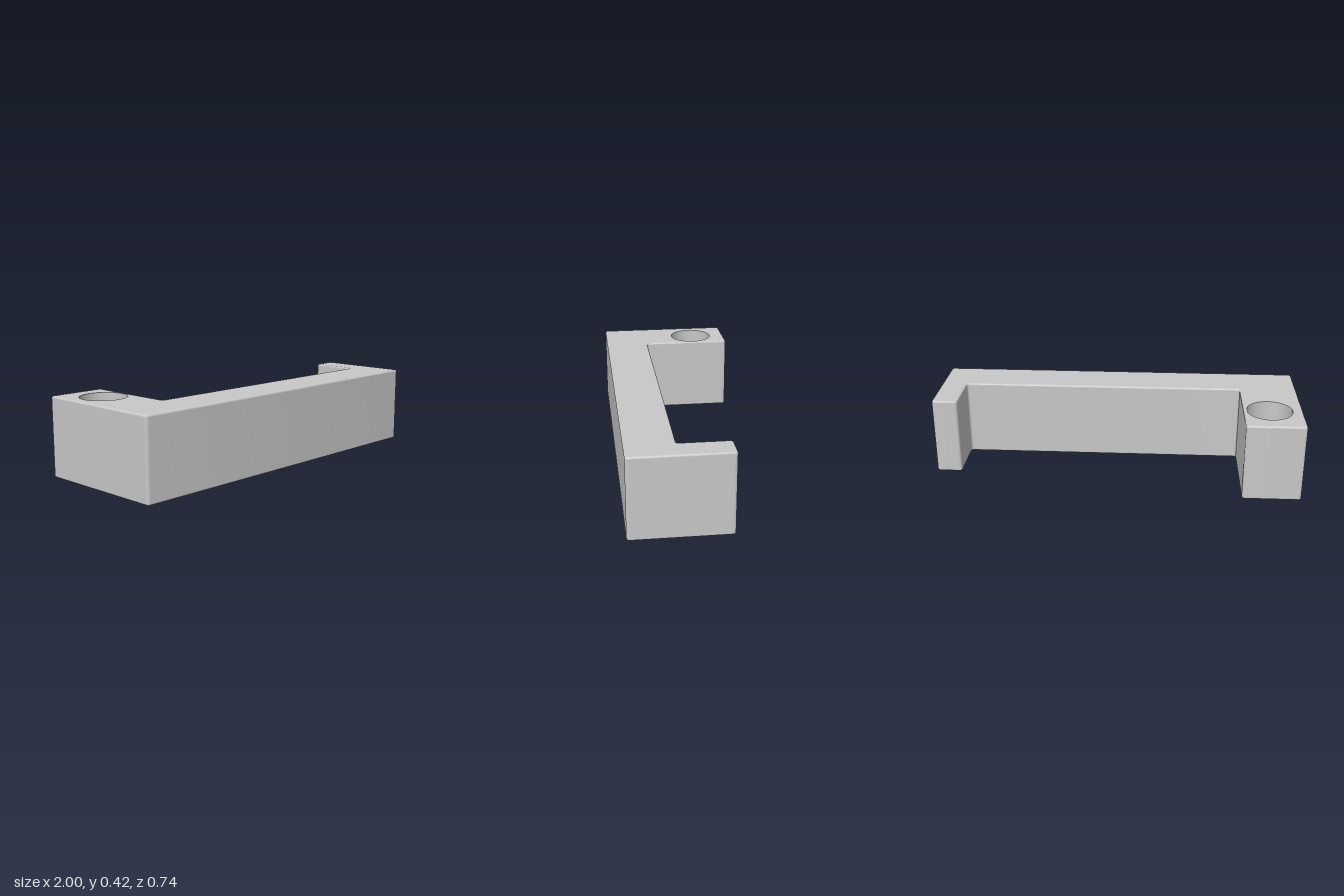
import * as THREE from 'three';
import { toCreasedNormals } from 'three/addons/utils/BufferGeometryUtils.js';

const HEIGHT = 0.424, BEVEL = 0.01, CORNER = 0.018;
const HOLE = { x: -0.825, y: 0.165, r: 0.122 };

// Closed outline with every corner slightly rounded
function roundedOutline(points, radius) {
  const shape = new THREE.Shape();
  const pts = points.map(([x, y]) => new THREE.Vector2(x, y));
  pts.forEach((p, i) => {
    const toward = (q) => q.clone().sub(p).setLength(radius).add(p);
    const a = toward(pts.at(i - 1));
    const b = toward(pts[(i + 1) % pts.length]);
    if (i === 0) shape.moveTo(a.x, a.y);
    else shape.lineTo(a.x, a.y);
    shape.quadraticCurveTo(p.x, p.y, b.x, b.y);
  });
  shape.closePath();
  return shape;
}

export function createModel() {
  const group = new THREE.Group();
  group.name = 'bracket';
  const grey = new THREE.MeshStandardMaterial({ color: 0xc8c8c8 });
  grey.name = 'grey';

  // Plan of the beam with a long wide arm and a short narrow arm (y points to the back)
  const plan = roundedOutline([
    [-1, -0.372], [1, -0.372], [1, 0.143], [0.86, 0.143],
    [0.86, -0.125], [-0.687, -0.125], [-0.687, 0.372], [-1, 0.372],
  ], CORNER);
  const hole = new THREE.Path();
  hole.absarc(HOLE.x, HOLE.y, HOLE.r, 0, Math.PI * 2, true);
  plan.holes.push(hole);

  const geometry = new THREE.ExtrudeGeometry(plan, {
    depth: HEIGHT - 2 * BEVEL, curveSegments: 24,
    bevelThickness: BEVEL, bevelSize: BEVEL, bevelOffset: -BEVEL, bevelSegments: 4,
  });

  // Keep the hole straight and sharp-edged by undoing its bevel
  const pos = geometry.attributes.position;
  for (let i = 0; i < pos.count; i++) {
    const dx = pos.getX(i) - HOLE.x, dy = pos.getY(i) - HOLE.y;
    const d = Math.hypot(dx, dy);
    if (d < HOLE.r + BEVEL * 1.5) {
      pos.setXY(i, HOLE.x + dx / d * HOLE.r, HOLE.y + dy / d * HOLE.r);
    }
  }
  geometry.translate(0, 0, BEVEL);
  geometry.rotateX(-Math.PI / 2);

  // Smooth only the hole and the rounded corners; flat faces stay flat
  const body = new THREE.Mesh(toCreasedNormals(geometry, 0.16), grey);
  body.name = 'bracketBody';
  group.add(body);
  return group;
}
